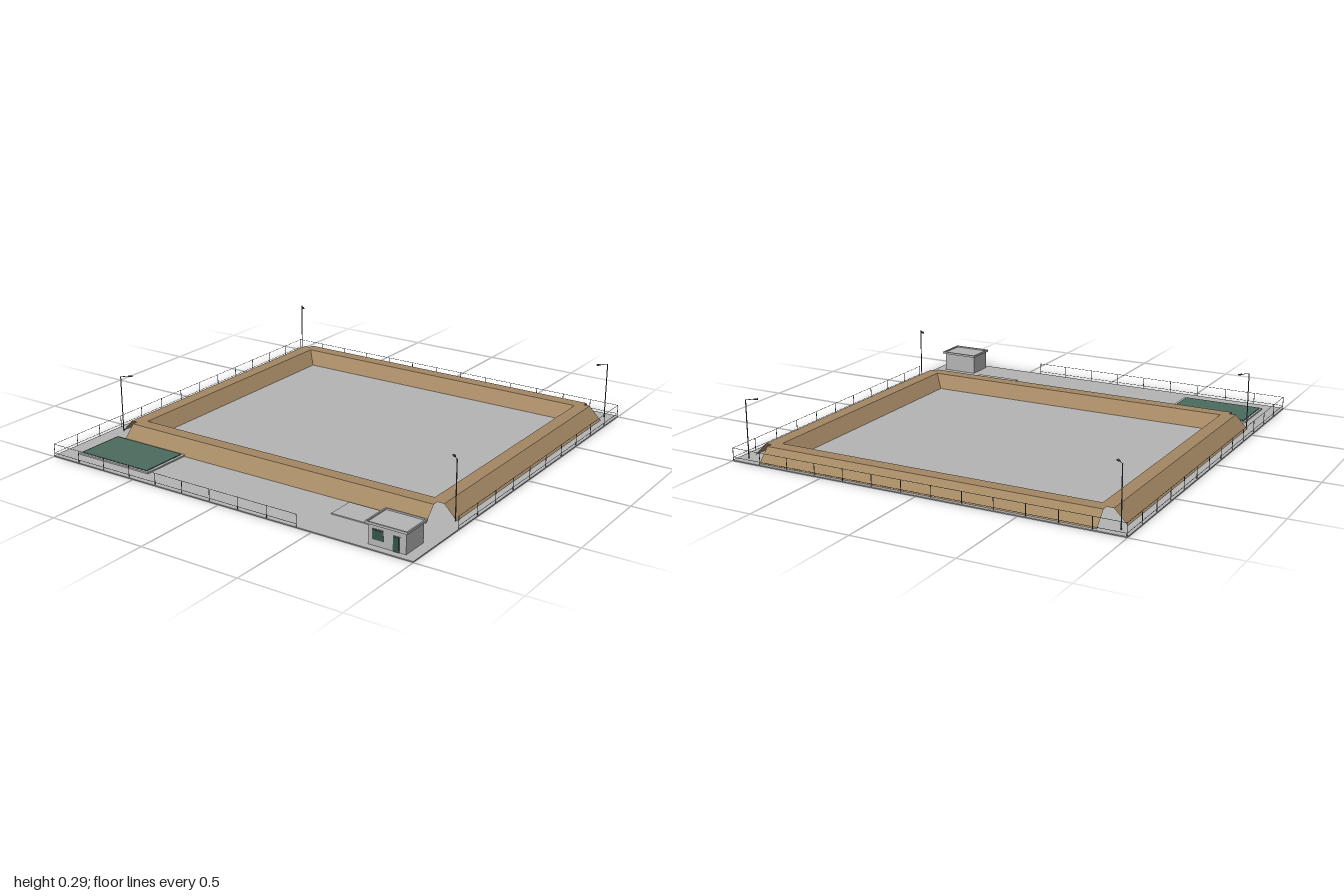
import * as THREE from 'three';

const mat = (name, color, side = THREE.FrontSide) => {
  const m = new THREE.MeshStandardMaterial({ color, side });
  m.name = name;
  return m;
};

export function createModel() {
  const root = new THREE.Group();
  const concrete = mat('concrete', 0xb4b4b4);
  const earth = mat('earth', 0xa38763, THREE.DoubleSide);
  const green = mat('courtGreen', 0x4a6b5d);
  const metal = mat('darkMetal', 0x50555a);
  const glass = mat('darkGreen', 0x2f5548);

  const add = (name, geo, m, parent = root) => {
    const mesh = new THREE.Mesh(geo, m);
    mesh.name = name;
    parent.add(mesh);
    return mesh;
  };
  // Box given by its limits on each axis
  const box = (name, x0, x1, y0, y1, z0, z1, m, parent) => {
    const b = add(name, new THREE.BoxGeometry(x1 - x0, y1 - y0, z1 - z0), m, parent);
    b.position.set((x0 + x1) / 2, (y0 + y1) / 2, (z0 + z1) / 2);
    return b;
  };
  // Flat four-cornered sheet, corners anticlockwise seen from its front
  const quad = (name, a, b, c, d, m, parent) => {
    const g = new THREE.BufferGeometry();
    g.setAttribute('position', new THREE.Float32BufferAttribute([a, b, c, a, c, d].flat(), 3));
    g.computeVertexNormals();
    return add(name, g, m, parent);
  };
  // Thin round bar between two points
  const bar = (name, a, b, r, parent) => {
    const p = new THREE.Vector3(...a), q = new THREE.Vector3(...b);
    const d = q.clone().sub(p);
    const mesh = add(name, new THREE.CylinderGeometry(r, r, d.length(), 6), metal, parent);
    mesh.position.copy(p).add(q).multiplyScalar(0.5);
    mesh.quaternion.setFromUnitVectors(new THREE.Vector3(0, 1, 0), d.normalize());
  };

  // Ground slab
  const G = 0.005, H = 0.07;
  box('ground', -1, 1, 0, G, -1, 1, concrete);

  // Embankment: the ring is centred on zc, with half sizes along x and z
  const berm = new THREE.Group();
  berm.name = 'embankment';
  berm.position.z = -0.16;
  root.add(berm);
  const foot = [0.765, 0.634], inner = [0.822, 0.692], outer = [0.89, 0.76];
  const toe = [0.953, 0.823], end = [0.857, 0.73];

  // Crest with notched corners
  const shape = new THREE.Shape([
    [end[0], outer[1]], [end[0], end[1]], [outer[0], end[1]],
    [outer[0], -end[1]], [end[0], -end[1]], [end[0], -outer[1]],
    [-end[0], -outer[1]], [-end[0], -end[1]], [-outer[0], -end[1]],
    [-outer[0], end[1]], [-end[0], end[1]], [-end[0], outer[1]],
  ].map(p => new THREE.Vector2(...p)));
  const [ix, iz] = inner;
  shape.holes.push(new THREE.Path(
    [[-ix, -iz], [ix, -iz], [ix, iz], [-ix, iz]].map(p => new THREE.Vector2(...p))));
  const crest = add('crest', new THREE.ShapeGeometry(shape).rotateX(-Math.PI / 2), earth, berm);
  crest.position.y = H;

  // Inner and outer slopes on each of the four sides
  for (const s of [1, -1]) {
    const z = (x, y, w) => [s * x, y, s * w];
    quad('outerSlope', z(-end[0], G, toe[1]), z(end[0], G, toe[1]),
      z(end[0], H, outer[1]), z(-end[0], H, outer[1]), earth, berm);
    quad('innerSlope', z(foot[0], G, foot[1]), z(-foot[0], G, foot[1]),
      z(-ix, H, iz), z(ix, H, iz), earth, berm);
    quad('sideOuterSlope', z(toe[0], G, end[1]), z(toe[0], G, -end[1]),
      z(outer[0], H, -end[1]), z(outer[0], H, end[1]), earth, berm);
    quad('sideInnerSlope', z(foot[0], G, -foot[1]), z(foot[0], G, foot[1]),
      z(ix, H, iz), z(ix, H, -iz), earth, berm);
  }

  // Green court on its slab, and the small pad beside the hut
  box('courtSlab', -0.91, -0.48, G, 0.012, 0.655, 0.92, concrete);
  box('court', -0.9, -0.495, 0.012, 0.016, 0.667, 0.91, green);
  box('pad', 0.47, 0.71, G, 0.01, 0.67, 0.81, concrete);

  // Hut with window, door and a raised roof rim
  const hut = new THREE.Group();
  hut.name = 'hut';
  root.add(hut);
  box('hutWalls', 0.76, 0.945, G, 0.1, 0.828, 0.965, concrete, hut);
  box('hutRoof', 0.75, 0.955, 0.1, 0.104, 0.815, 0.975, concrete, hut);
  for (const z of [0.815, 0.968]) box('roofRim', 0.75, 0.955, 0.104, 0.111, z, z + 0.007, concrete, hut);
  for (const x of [0.75, 0.948]) box('roofRim', x, x + 0.007, 0.104, 0.111, 0.822, 0.968, concrete, hut);
  box('windowFrame', 0.782, 0.836, 0.033, 0.082, 0.965, 0.967, metal, hut);
  box('window', 0.787, 0.831, 0.038, 0.077, 0.967, 0.969, glass, hut);
  box('doorFrame', 0.882, 0.916, G, 0.075, 0.965, 0.967, metal, hut);
  box('door', 0.887, 0.911, G, 0.07, 0.967, 0.969, glass, hut);

  // Perimeter fence: two rails and evenly spaced posts on each run
  const fence = new THREE.Group();
  fence.name = 'fence';
  root.add(fence);
  const E = 0.997;
  for (const [x0, z0, x1, z1] of [
    [-E, -E, E, -E], [-E, -E, -E, E], [-E, E, 0.42, E], [E, -E, E, 0.63],
  ]) {
    for (const y of [0.018, 0.063]) bar('rail', [x0, y, z0], [x1, y, z1], 0.001, fence);
    const n = Math.round(Math.hypot(x1 - x0, z1 - z0) / 0.155);
    for (let i = 0; i <= n; i++) {
      const x = x0 + (x1 - x0) * i / n, z = z0 + (z1 - z0) * i / n;
      bar('post', [x, G, z], [x, 0.064, z], 0.0015, fence);
    }
  }

  // Lamp posts with arms turned towards the middle
  for (const [x, z] of [[-0.948, -0.945], [0.948, -0.945], [-0.948, 0.572], [0.948, 0.572]]) {
    const lamp = new THREE.Group();
    lamp.name = 'lampPost';
    root.add(lamp);
    const dx = -Math.sign(x), dz = -Math.sign(z);
    bar('pole', [x, G, z], [x, 0.29, z], 0.0025, lamp);
    bar('arm', [x, 0.289, z], [x + dx * 0.03, 0.289, z + dz * 0.03], 0.0015, lamp);
    const head = add('lampHead', new THREE.BoxGeometry(0.02, 0.005, 0.01), metal, lamp);
    head.position.set(x + dx * 0.033, 0.288, z + dz * 0.033);
    head.rotation.y = Math.atan2(-dz, dx);
  }
  return root;
}
